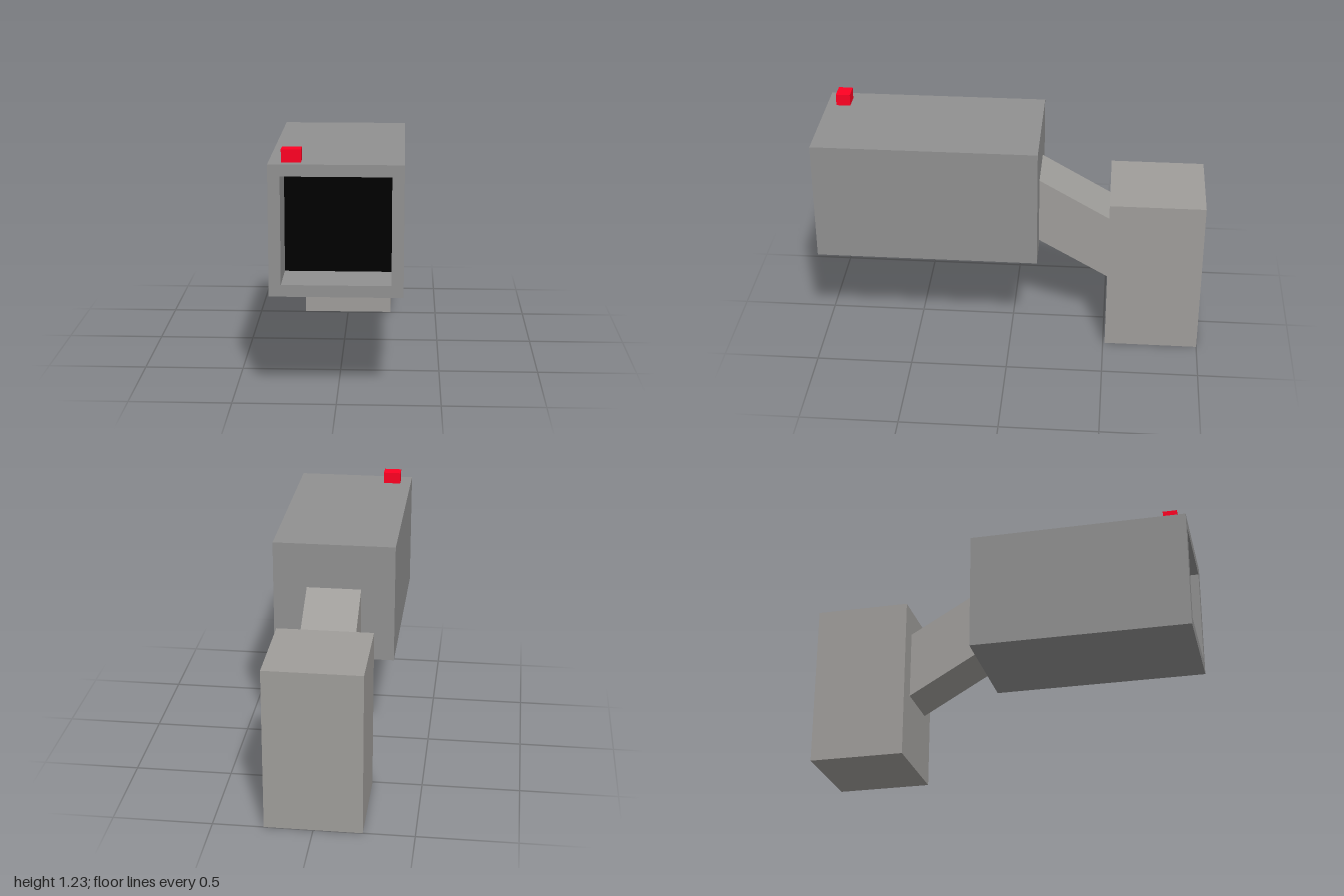
import * as THREE from 'three';

const grey = new THREE.MeshStandardMaterial({ color: 0x909090, flatShading: true });
const warmGrey = new THREE.MeshStandardMaterial({ color: 0x9f9d9a, flatShading: true });
const black = new THREE.MeshStandardMaterial({ color: 0x000000, flatShading: true });
const red = new THREE.MeshStandardMaterial({ color: 0xff0022, flatShading: true });

// Rectangle path centred on the origin
function rect(PathType, w, h) {
  return new PathType([[-1, -1], [1, -1], [1, 1], [-1, 1]]
    .map(([x, y]) => new THREE.Vector2(x * w / 2, y * h / 2)));
}

export function createModel() {
  const group = new THREE.Group();

  function add(name, geometry, material, x, y, z) {
    const mesh = new THREE.Mesh(geometry, material);
    mesh.name = name;
    mesh.position.set(x, y, z);
    group.add(mesh);
    return mesh;
  }
  const box = (name, [w, h, d], material, [x, y, z]) =>
    add(name, new THREE.BoxGeometry(w, h, d), material, x, y, z);

  // Housing: solid rear block with a hollow square hood in front
  const size = 0.632, hole = 0.518, midY = 0.849;
  const back = -0.145, front = 1, recess = 0.255;
  const seam = front - recess;
  box('housing', [size, size, seam - back], grey, [0, midY, (seam + back) / 2]);

  const hoodShape = rect(THREE.Shape, size, size);
  hoodShape.holes.push(rect(THREE.Path, hole, hole));
  const hood = new THREE.ExtrudeGeometry(hoodShape, { depth: recess, bevelEnabled: false });
  add('hood', hood, grey, 0, midY, seam);

  // Dark panel at the bottom of the recess
  box('lensPanel', [hole, hole, 0.01], black, [0, midY, seam]);

  // Indicator light on top, near the front right corner
  box('indicatorLight', [0.093, 0.07, 0.074], red, [-0.21, 1.191, 0.913]);

  // Sloping arm, its ends buried in the housing and the mount
  const arm = box('arm', [0.283, 0.308, 0.62], warmGrey, [0, 0.644, -0.325]);
  arm.rotation.x = -Math.PI / 6;

  // Upright mount block
  box('mount', [0.488, 0.85, 0.49], warmGrey, [0, 0.425, -0.755]);

  return group;
}
